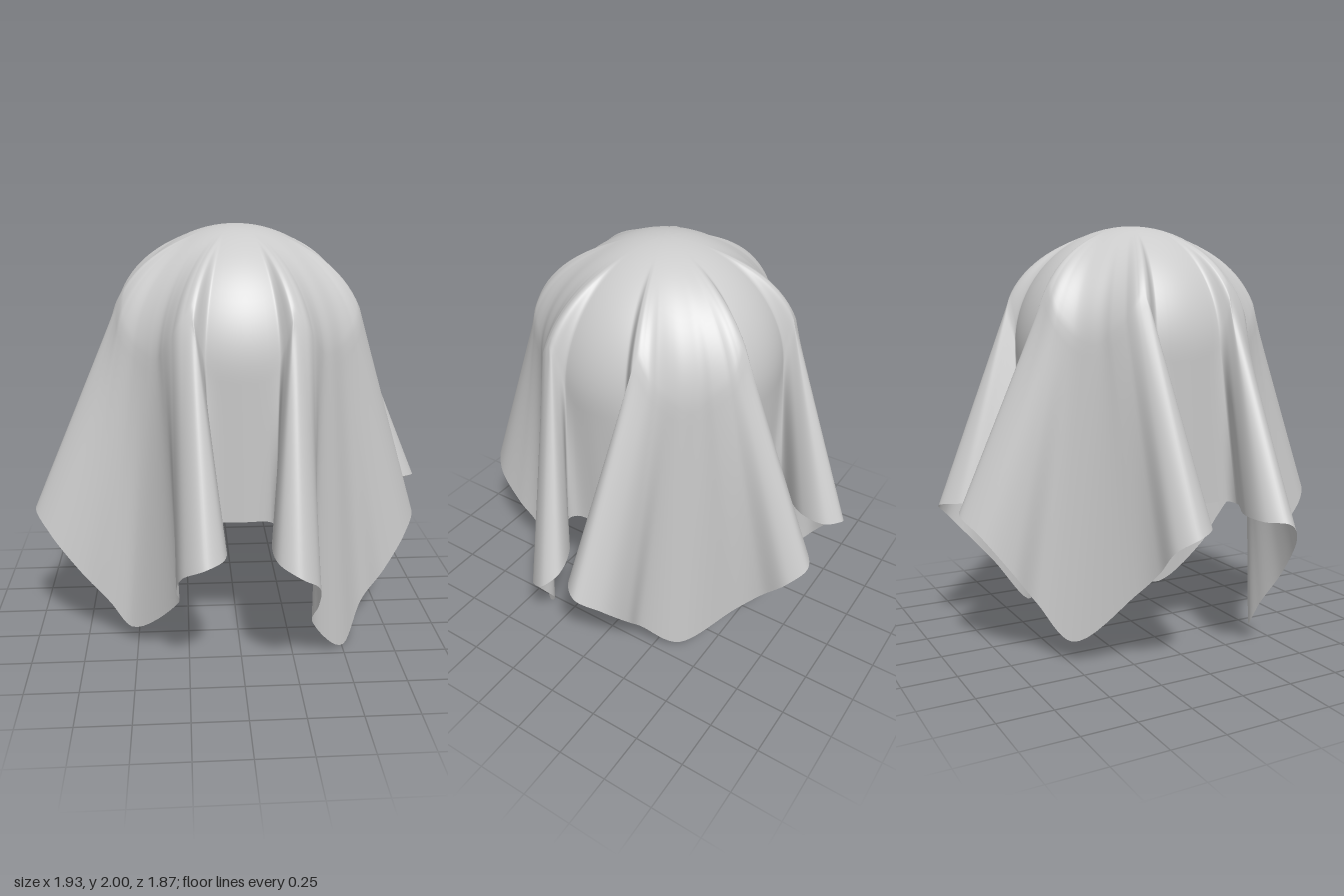
import * as THREE from 'three';

const R = 0.57;          // radius of the ball shape under the cloth
const CY = 2 - R;        // its centre height
const SUB = 8;           // hem samples per control point
const DOME = 20;         // rows on the dome
const DROP = 22;         // rows on the hanging folds
const PUFF = 0.07;       // how far the fold ridges stand off the ball

// Azimuth in degrees at which threads leave the crown, per hem point from side middle to corner
const FAN = [0, 11, 16, 18.5, 20.5, 22.5, 25, 30, 37, 45];

// Each side has a hem middle, a fold before and after it, and the corner that follows.
// Fold: tip distance along the side, tip distance outward, tip height, inner and outer root
const fold = (tipU, tipV, tipY, inner, outer) => ({ tipU, tipV, tipY, inner, outer });
const SIDES = [
  { mid: 0, before: fold(0.18, 0.93, 0.68, 0.15, 0.3), after: fold(0.22, 0.93, 0.63, 0.15, 0.32), corner: [0.51, 0, 0.42] },
  { mid: 0, before: fold(0.09, 0.9, 0.57, 0.17, 0.29), after: fold(0.15, 0.96, 0.67, 0.15, 0.28), corner: [0.44, 0.05, -0.38] },
  { mid: 0.08, before: fold(0.22, 0.93, 0.67, 0.02, 0.32), after: fold(0.14, 0.94, 0.7, 0.18, 0.28), corner: [-0.37, 0.11, -0.5] },
  { mid: 0.09, before: fold(0.15, 0.9, 0.67, 0, 0.3), after: fold(0.25, 0.97, 0.7, 0.24, 0.36), corner: [-0.53, 0.1, 0.36] },
].map((side) => ({ ...side, corner: new THREE.Vector3(...side.corner) }));

const { lerp, smoothstep, degToRad } = THREE.MathUtils;

// From side coordinates (u along the side, v outward) to the model's
function place(q, u, y, v) {
  return new THREE.Vector3(u, y, v).applyAxisAngle(new THREE.Vector3(0, 1, 0), q * Math.PI / 2);
}

// Hem of one fold, from the middle of the side round the tip towards the corner
function foldHem(q, sign) {
  const { mid, before, after } = SIDES[q];
  const { tipU, tipV, tipY, inner, outer } = sign > 0 ? after : before;
  const corner = SIDES[sign > 0 ? q : (q + 3) % 4].corner;
  const cornerV = corner.dot(place(q, 0, 0, 1));
  const root = (inner + outer) / 2;
  const at = (f, offset) => [lerp(root, tipU, f) + offset, lerp(0.59, tipV, f)];
  const slope = (v) => lerp(tipY, corner.y, (tipV - v) / (tipV - cornerV));
  const points = [];
  const add = ([u, v], y) => points.push(place(q, sign * u, y, v));
  // neck and inner wall
  add([lerp(sign * mid, inner, 0.85), 0.545], 0.72);
  add(at(0, inner - root), 0.715);
  add(at(0.45, -0.115), lerp(0.71, tipY, 0.2));
  add(at(0.82, -0.09), lerp(0.71, tipY, 0.5));
  add(at(1, 0), tipY);
  // outer wall, falling towards the corner
  for (const [f, offset] of [[0.82, 0.085], [0.45, 0.1], [0.1, outer - root]]) {
    const p = at(f, offset);
    add(p, slope(p[1]));
  }
  return points;
}

// Eight runs of hem points, alternately starting at the middle of a side and at a corner
function hemRuns() {
  return SIDES.flatMap(({ mid, corner }, q) => [
    [place(q, mid, 0.72, 0.54), ...foldHem(q, 1)],
    [corner, ...foldHem((q + 1) % 4, -1).reverse()],
  ]);
}

// Sample the hem and give each sample the azimuth at which its thread leaves the crown
function sampleHem() {
  const points = hemRuns().flat(), steps = FAN.length - 1;
  const curve = new THREE.CatmullRomCurve3(points, true, 'centripetal');
  const fan = (t) => lerp(FAN[Math.floor(t)], FAN[Math.min(Math.floor(t) + 1, steps)], t % 1);
  const samples = [];
  for (let i = 0; i < points.length * SUB; i++) {
    const k = Math.floor(i / SUB / steps), t = i / SUB - k * steps;
    const angle = k * 45 + (k % 2 ? 45 - fan(steps - t) : fan(t));
    samples.push({ hem: curve.getPoint(i / SUB / points.length), azimuth: degToRad(angle) });
  }
  return samples;
}

// Each thread follows the ball from the crown, then leaves it on a tangent to the hem;
// threads of a fold ridge stand off the ball where they leave it
function threadPoint({ hem, azimuth }, row) {
  const r = Math.hypot(hem.x, hem.z), dy = hem.y - CY;
  const leave = Math.atan2(dy, r) + Math.acos(R / Math.hypot(r, dy));
  const t = Math.min(row / DOME, 1);
  const elevation = lerp(Math.PI / 2, leave, t);
  const radius = R + PUFF * smoothstep(r, 0.6, 0.9) * smoothstep(t, 0.3, 1.1);
  const c = radius * Math.cos(elevation);
  const p = new THREE.Vector3(c * Math.sin(azimuth), CY + radius * Math.sin(elevation), c * Math.cos(azimuth));
  return row > DOME ? p.lerp(hem, (row - DOME) / DROP) : p;
}

function clothGeometry() {
  const threads = sampleHem(), n = threads.length, rows = DOME + DROP;
  const positions = [0, 2, 0], index = [];
  for (let j = 1; j <= rows; j++) {
    for (const thread of threads) positions.push(...threadPoint(thread, j).toArray());
  }
  const id = (i, j) => 1 + (j - 1) * n + (i % n);
  for (let i = 0; i < n; i++) {
    index.push(0, id(i, 1), id(i + 1, 1));
    for (let j = 1; j < rows; j++) {
      const a = id(i, j), b = id(i, j + 1), c = id(i + 1, j + 1), d = id(i + 1, j);
      index.push(a, b, c, a, c, d);
    }
  }
  const geometry = new THREE.BufferGeometry();
  geometry.setAttribute('position', new THREE.Float32BufferAttribute(positions, 3));
  geometry.setIndex(index);
  geometry.computeVertexNormals();
  return geometry;
}

export function createModel() {
  const group = new THREE.Group();
  group.name = 'drapedCloth';
  const material = new THREE.MeshStandardMaterial({ color: 0xcccccc, side: THREE.DoubleSide });
  const cloth = new THREE.Mesh(clothGeometry(), material);
  cloth.name = 'cloth';
  group.add(cloth);
  return group;
}
